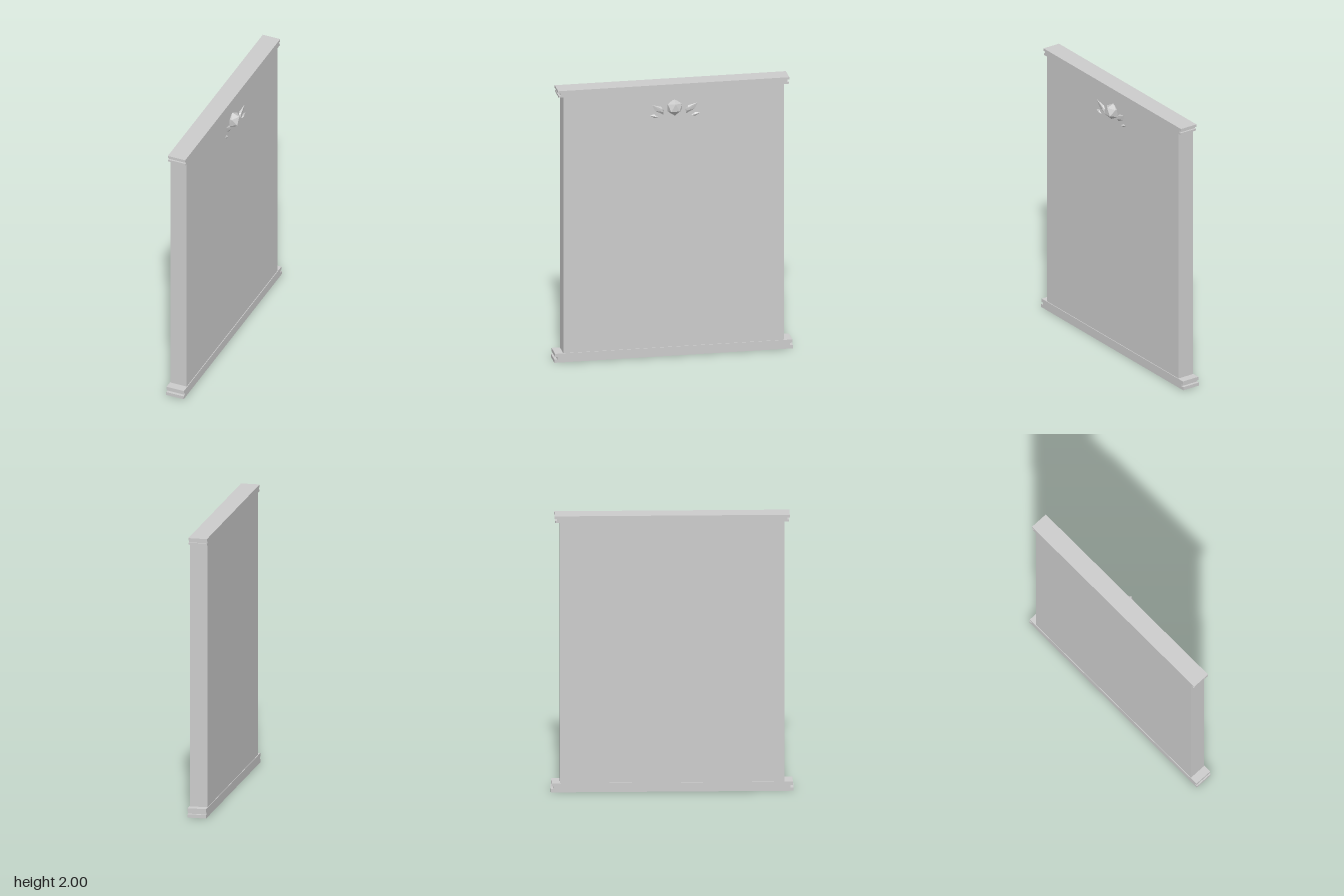
import * as THREE from 'three';
import { ConvexGeometry } from 'three/addons/geometries/ConvexGeometry.js';

const material = new THREE.MeshStandardMaterial({ color: 0xcccccc, flatShading: true, side: THREE.DoubleSide });

function add(parent, name, geometry) {
  const mesh = new THREE.Mesh(geometry, material);
  mesh.name = name;
  parent.add(mesh);
  return mesh;
}

// Moulding: a stepped outline in (z, y) extruded through the thickness along x
function moulding(parent, name, steps, x0, x1) {
  const side = steps.map(([z, y]) => new THREE.Vector2(z, y));
  const mirrored = steps.map(([z, y]) => new THREE.Vector2(-z, y)).reverse();
  const geometry = new THREE.ExtrudeGeometry(new THREE.Shape([...side, ...mirrored]), {
    depth: x1 - x0, bevelEnabled: false,
  });
  geometry.rotateY(Math.PI / 2).translate(x0, 0, 0);
  return add(parent, name, geometry);
}

// Twenty-sided gem with one face turned towards +x
function gemGeometry(radius) {
  const points = [];
  for (const [x, r, turn] of [[0.795, 0.607, 0], [0.188, 0.982, 1], [-0.188, 0.982, 0], [-0.795, 0.607, 1]]) {
    for (let i = 0; i < 3; i++) {
      const a = Math.PI / 2 + (turn + 2 * i) * Math.PI / 3;
      points.push(new THREE.Vector3(x, r * Math.sin(a), r * Math.cos(a)).multiplyScalar(radius));
    }
  }
  return new ConvexGeometry(points);
}

const shardGeometry = (points) => new ConvexGeometry(points.map((p) => new THREE.Vector3(...p)));

export function createModel() {
  const model = new THREE.Group();
  model.name = 'panel';

  // Main slab
  add(model, 'slab', new THREE.BoxGeometry(0.124, 1.9, 1.566).translate(-0.024, 1.01, 0));

  // Grooved mouldings at the foot and the top
  moulding(model, 'baseMoulding', [
    [0.847, 0], [0.847, 0.024], [0.826, 0.024], [0.826, 0.042], [0.842, 0.042], [0.842, 0.066],
  ], -0.09, 0.043);
  moulding(model, 'topMoulding', [
    [0.816, 1.952], [0.816, 1.966], [0.803, 1.966], [0.803, 1.982], [0.82, 1.982], [0.82, 2],
  ], -0.09, 0.043);

  // Ornament on the right-hand face: gem between two pairs of shards
  const ornament = new THREE.Group();
  ornament.name = 'ornament';
  ornament.position.set(0, 1.83, -0.005);
  model.add(ornament);
  add(ornament, 'gem', gemGeometry(0.059)).position.x = 0.043;

  const upper = shardGeometry([
    [0.06, 0.032, 0.163], [0.052, 0.012, 0.093], [0.052, -0.012, 0.077], [0.052, -0.046, 0.08],
    [0.058, -0.012, 0.142], [0.066, -0.022, 0.086], [0.066, 0.0, 0.09],
  ]);
  const lower = shardGeometry([
    [0.06, -0.045, 0.176], [0.055, -0.038, 0.146], [0.055, -0.06, 0.116],
    [0.055, -0.066, 0.146], [0.065, -0.056, 0.135],
  ]);
  for (const [side, label] of [[1, 'front'], [-1, 'back']]) {
    add(ornament, label + 'UpperShard', upper).scale.z = side;
    add(ornament, label + 'LowerShard', lower).scale.z = side;
  }
  return model;
}
